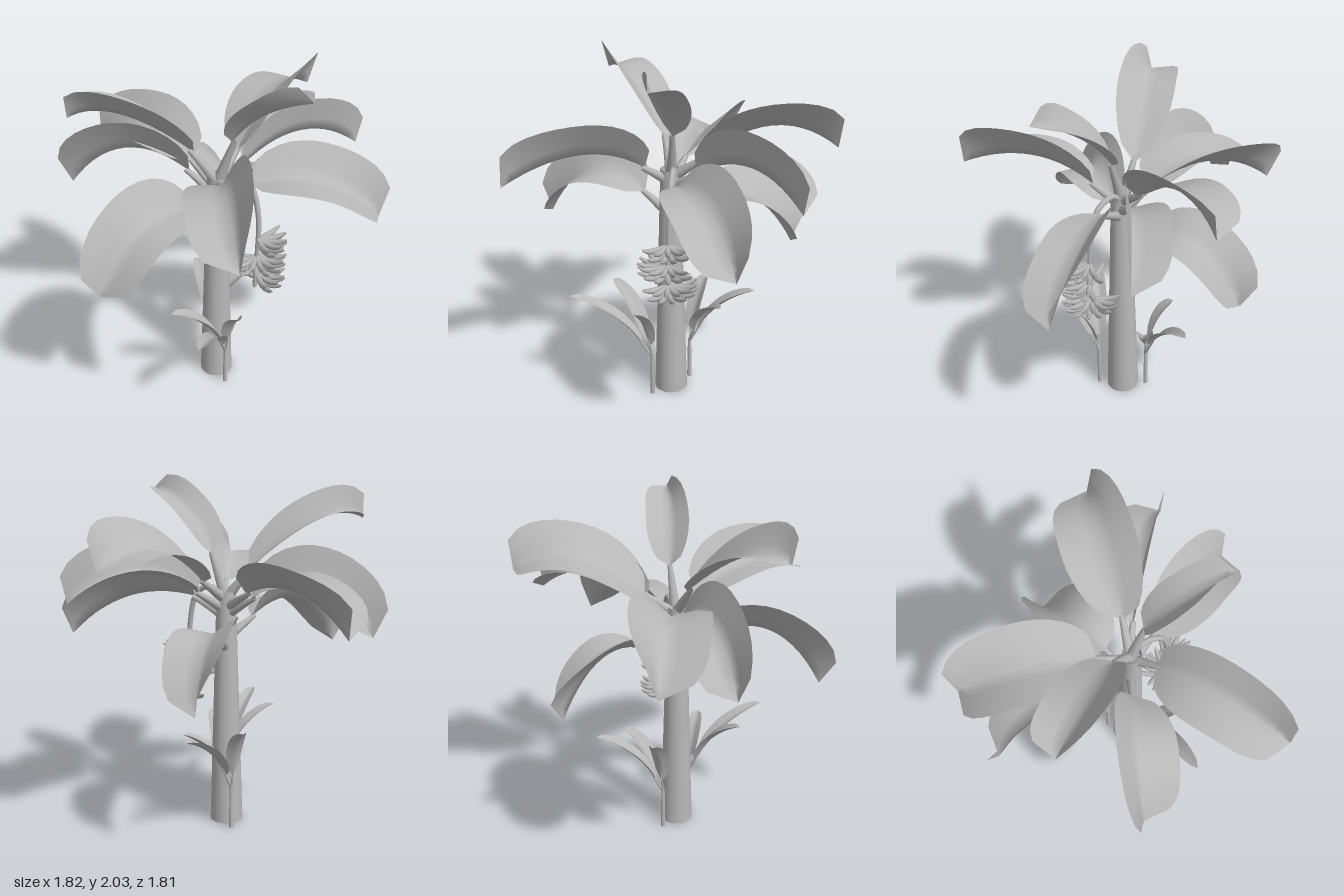
import * as THREE from 'three';

const V = (p) => new THREE.Vector3(...p);
const UP = new THREE.Vector3(0, 1, 0);
const grey = new THREE.MeshStandardMaterial({ color: 0xb8b8b8, side: THREE.DoubleSide });
grey.name = 'plant grey';

function add(parent, name, geometry) {
  const mesh = new THREE.Mesh(geometry, grey);
  mesh.name = name;
  parent.add(mesh);
  return mesh;
}

// Round sweep along a curve with a radius that depends on t
function taperTube(curve, radiusAt, segments = 8, sides = 8) {
  const geo = new THREE.TubeGeometry(curve, segments, 1, sides, false);
  const pos = geo.attributes.position;
  const p = new THREE.Vector3();
  for (let i = 0; i <= segments; i++) {
    const c = curve.getPointAt(i / segments);
    const r = radiusAt(i / segments);
    for (let j = 0; j <= sides; j++) {
      const k = i * (sides + 1) + j;
      p.fromBufferAttribute(pos, k).sub(c).multiplyScalar(r).add(c);
      pos.setXYZ(k, p.x, p.y, p.z);
    }
  }
  return geo;
}

// Quadratic curve passing through a middle point
function arcThrough(a, m, b) {
  const control = m.clone().multiplyScalar(2).sub(a.clone().add(b).multiplyScalar(0.5));
  return new THREE.QuadraticBezierCurve3(a, control, b);
}

// Folded blade: each half rises from the midrib at its own angle in degrees,
// and a raised half stands up further toward the tip
function bladeGeometry(rib, halfWidth, rightAngle, leftAngle, blunt) {
  const N = 14, M = 3;
  const d = rib.getPoint(1).sub(rib.getPoint(0)).setY(0).normalize();
  const side = new THREE.Vector3().crossVectors(d, UP);
  const positions = [], index = [];
  for (let i = 0; i <= N; i++) {
    const t = i / N, u = 2 * t - 1;
    const w = halfWidth * Math.sqrt(Math.max(0, 1 - Math.pow(Math.abs(u), u < 0 ? 2.2 : blunt)));
    const c = rib.getPoint(t);
    const n = new THREE.Vector3().crossVectors(side, rib.getTangent(t)).normalize();
    for (let j = -M; j <= M; j++) {
      const flat = j > 0 ? rightAngle : leftAngle;
      const lift = flat > 29 ? (88 - flat) * Math.pow(t, 4) : 0;
      const a = THREE.MathUtils.degToRad(flat + lift);
      const k = (w * j) / M;
      const p = c.clone()
        .addScaledVector(side, k * Math.cos(a))
        .addScaledVector(n, Math.abs(k) * Math.sin(a));
      positions.push(p.x, p.y, p.z);
    }
  }
  const row = 2 * M + 1;
  for (let i = 0; i < N; i++) {
    for (let j = 0; j < row - 1; j++) {
      const a = i * row + j, b = a + 1, c = a + row, e = c + 1;
      index.push(a, b, c, b, e, c);
    }
  }
  const geo = new THREE.BufferGeometry();
  geo.setAttribute('position', new THREE.Float32BufferAttribute(positions, 3));
  geo.setIndex(index);
  geo.computeVertexNormals();
  return geo;
}

// Crown leaves: blade base, rib middle, tip, half width, right and left fold angles
const LEAVES = [
  [[-0.18, 1.23, 0.07], [-0.53, 1.30, 0.12], [-0.82, 1.00, 0.16], 0.21, 55, -3],
  [[-0.10, 1.53, -0.03], [-0.45, 1.80, -0.165], [-0.70, 1.81, -0.27], 0.18, 8, 42],
  [[-0.08, 1.37, -0.10], [-0.33, 1.48, -0.36], [-0.54, 1.21, -0.62], 0.21, 0, 66],
  [[-0.04, 1.41, -0.12], [-0.13, 1.47, -0.50], [-0.21, 1.28, -0.86], 0.245, 40, 16],
  [[0.10, 1.17, -0.08], [0.30, 1.19, -0.29], [0.46, 0.88, -0.50], 0.20, 8, 36],
  [[0.16, 1.47, 0.01], [0.51, 1.69, -0.12], [0.85, 1.61, -0.21], 0.22, 38, -2],
  [[0.16, 1.40, 0.06], [0.53, 1.53, 0.115], [0.88, 1.38, 0.20], 0.20, 80, 14],
  [[0.12, 1.36, 0.18], [0.45, 1.36, 0.38], [0.74, 1.13, 0.575], 0.21, 0, 52],
  [[-0.08, 1.43, 0.20], [-0.27, 1.55, 0.51], [-0.475, 1.44, 0.88], 0.22, 3, 58],
  [[0.05, 1.61, 0.12], [0.11, 1.82, 0.30], [0.21, 1.96, 0.55], 0.14, 40, 15],
];

function buildCrown() {
  const crown = new THREE.Group();
  crown.name = 'crown';
  for (const [b, m, t, w, right, left] of LEAVES) {
    const leaf = new THREE.Group();
    leaf.name = 'leaf';
    crown.add(leaf);
    const base = V(b), rib = arcThrough(base, V(m), V(t));
    add(leaf, 'leafBlade', bladeGeometry(rib, w, right, left, 4.5));
    // stalk from the trunk to the start of the blade
    const root = new THREE.Vector3(-0.005, Math.min(1.35, base.y - 0.11), 0.06);
    const end = rib.getPoint(0.03);
    end.y -= 0.008;
    const stalk = new THREE.QuadraticBezierCurve3(root, base.clone().lerp(root, 0.4), end);
    add(leaf, 'leafStalk', taperTube(stalk, (s) => 0.034 - 0.02 * s));
  }
  return crown;
}

// Fruit bunch: hanging stem with tiers of curved fingers
function buildBunch() {
  const bunch = new THREE.Group();
  bunch.name = 'fruitBunch';
  const path = new THREE.CatmullRomCurve3([
    [0, 1.34, 0.06], [0.05, 1.42, 0.12], [0.1, 1.38, 0.21],
    [0.125, 1.2, 0.26], [0.12, 0.95, 0.27], [0.11, 0.72, 0.27],
  ].map(V));
  add(bunch, 'bunchStem', taperTube(path, (t) => 0.017 - 0.004 * t, 24));
  add(bunch, 'bunchStemEnd', new THREE.SphereGeometry(0.013, 8, 6)).position.set(0.11, 0.72, 0.27);

  const finger = taperTube(
    new THREE.QuadraticBezierCurve3(V([0.012, 0, 0]), V([0.1, -0.02, 0]), V([0.165, 0.018, 0])),
    (t) => 0.004 + 0.013 * Math.pow(Math.sin(Math.PI * (0.06 + 0.92 * t)), 0.7), 7, 6);
  // height, middle heading and spread in degrees
  for (const [y, heading, spread] of [[1.02, 45, 135], [0.9, 110, 230], [0.78, 10, 210]]) {
    const hand = new THREE.Group();
    hand.name = 'fruitHand';
    hand.position.set(0.116, y, 0.27);
    bunch.add(hand);
    const count = Math.round(spread / 27);
    for (let r = 0; r < 2; r++) {
      for (let i = 0; i < count; i++) {
        const f = add(hand, 'fruit', finger);
        f.position.y = r * 0.04 - 0.013;
        const angle = heading + spread * ((i + 0.25 + r * 0.5) / count - 0.5);
        f.rotation.y = -THREE.MathUtils.degToRad(angle);
      }
    }
  }
  return bunch;
}

// Young shoot: slim stem with narrow leaves
function buildShoot(x, z, tips) {
  const shoot = new THREE.Group();
  shoot.name = 'youngShoot';
  const stem = add(shoot, 'shootStem', new THREE.CylinderGeometry(0.01, 0.014, 0.27, 8));
  stem.position.set(x, 0.135, z);
  const top = new THREE.Vector3(x, 0.25, z);
  for (const t of tips) {
    const tip = V(t);
    const start = top.clone().lerp(tip, 0.12).setY(0.34);
    const mid = start.clone().lerp(tip, 0.42).setY(start.y + (tip.y - start.y) * 0.62);
    const rib = arcThrough(start, mid, tip);
    add(shoot, 'shootLeafBlade', bladeGeometry(rib, 0.058, 28, 28, 2));
    const stalk = new THREE.QuadraticBezierCurve3(top, top.clone().lerp(start, 0.3), rib.getPoint(0.15));
    add(shoot, 'shootLeafStalk', taperTube(stalk, (s) => 0.009 - 0.006 * s, 5, 6));
  }
  return shoot;
}

export function createModel() {
  const model = new THREE.Group();
  model.name = 'bananaPlant';

  // Tapered hollow trunk
  const trunk = add(model, 'trunk', new THREE.CylinderGeometry(0.055, 0.097, 1.4, 24, 1, true));
  trunk.position.set(-0.01, 0.7, 0.063);

  model.add(buildCrown());
  model.add(buildBunch());
  model.add(buildShoot(-0.045, 0.205, [[-0.43, 0.66, 0.48], [-0.38, 0.65, 0.14], [-0.06, 0.6, 0.36]]));
  model.add(buildShoot(0.03, -0.075, [[0.39, 0.64, -0.22], [0.04, 0.64, -0.24], [0.3, 0.6, 0.01]]));
  return model;
}
